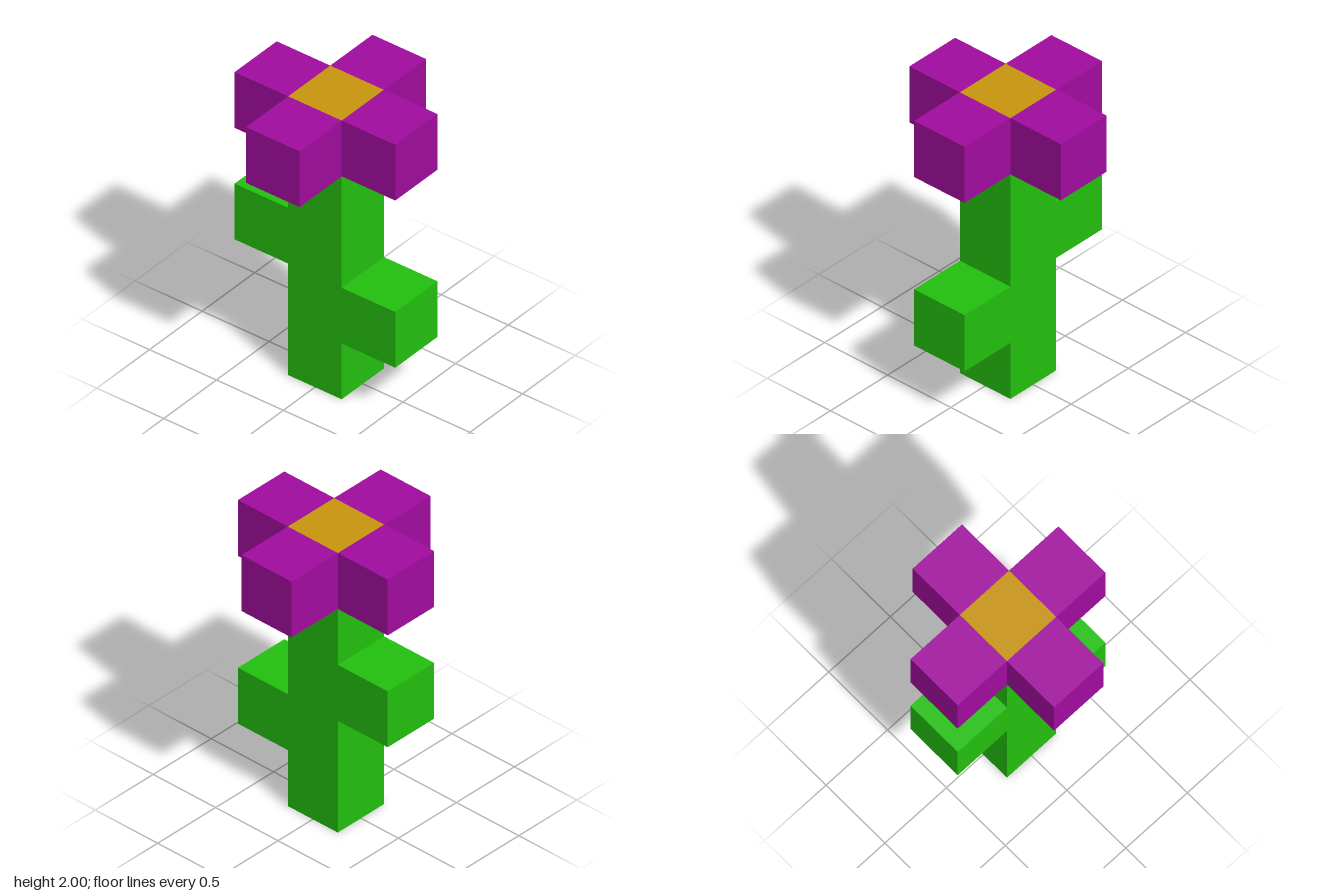
import * as THREE from 'three';

const UNIT = 0.4; // every part is made of cubes of this size

export function createModel() {
  const flower = new THREE.Group();
  flower.name = 'flower';

  const material = (name, color) => {
    const m = new THREE.MeshStandardMaterial({ color });
    m.name = name;
    return m;
  };
  const green = material('leaf green', 0x23c10e);
  const purple = material('petal purple', 0xa20c9f);
  const gold = material('flower centre gold', 0xc9960e);

  const block = (name, mat, x, y, z, height = UNIT) => {
    const mesh = new THREE.Mesh(new THREE.BoxGeometry(UNIT, height, UNIT), mat);
    mesh.name = name;
    mesh.position.set(x, y, z);
    flower.add(mesh);
  };

  // Stem with two staggered leaves
  block('stem', green, 0, 0.8, 0, 4 * UNIT);
  block('leftLeaf', green, UNIT, 0.6, 0);
  block('rightLeaf', green, -UNIT, 1.0, 0);

  // Blossom: a centre ringed by four petals
  block('flowerCentre', gold, 0, 1.8, 0);
  const petals = { left: [1, 0], right: [-1, 0], front: [0, 1], back: [0, -1] };
  for (const [side, [x, z]] of Object.entries(petals)) {
    block(`${side}Petal`, purple, x * UNIT, 1.8, z * UNIT);
  }

  return flower;
}
